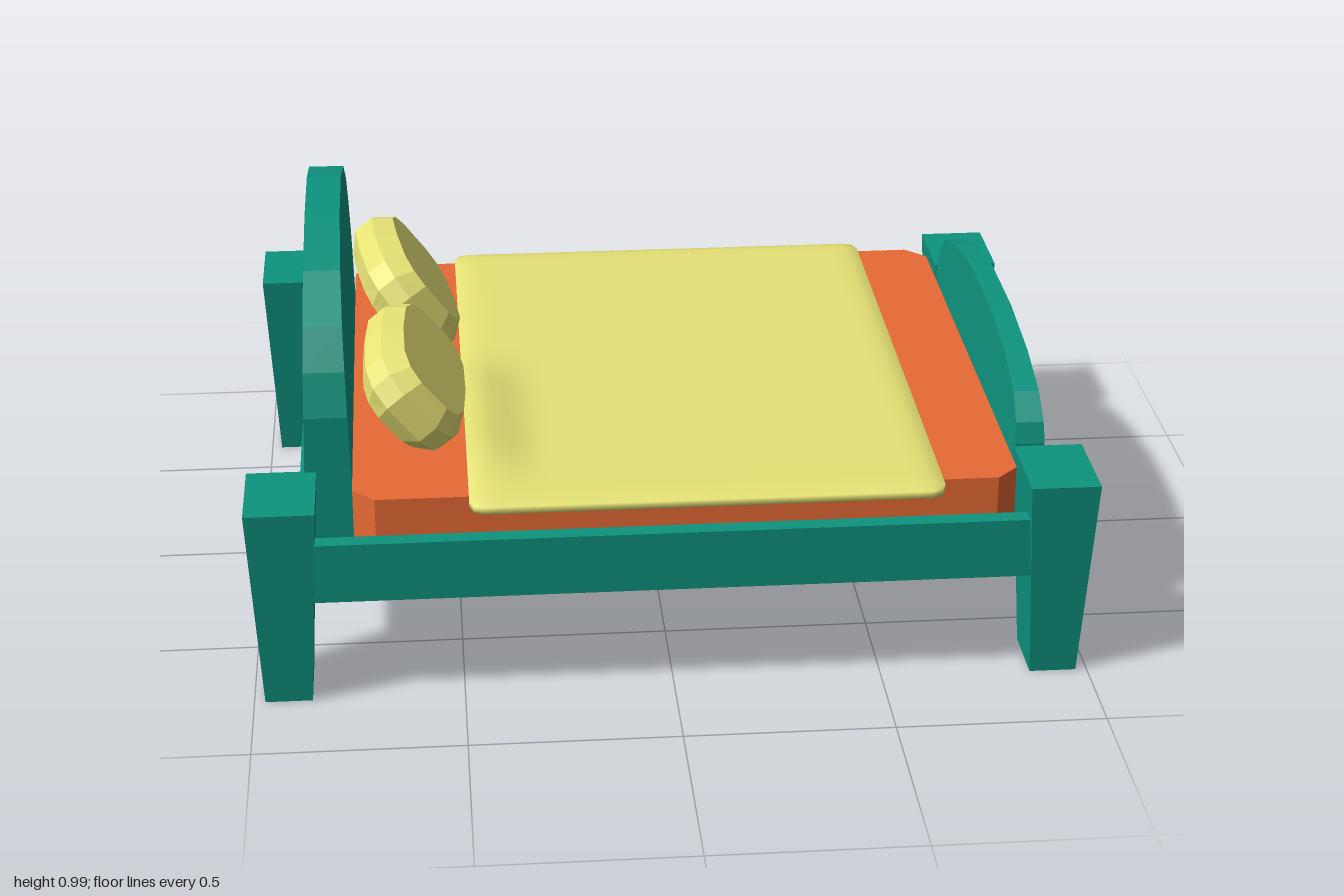
import * as THREE from 'three';
import { mergeVertices } from 'three/addons/utils/BufferGeometryUtils.js';

const mat = (color, flatShading = true) =>
  new THREE.MeshStandardMaterial({ color, flatShading, side: THREE.DoubleSide });
const wood = mat(0x0e937f);
const orange = mat(0xe86a35);
const yellow = mat(0xe6e276);
const yellowSmooth = mat(0xe6e276, false);

// Applies a rule to every vertex
function reshape(geo, rule) {
  const p = geo.attributes.position;
  const v = new THREE.Vector3();
  for (let i = 0; i < p.count; i++) {
    v.fromBufferAttribute(p, i);
    rule(v);
    p.setXYZ(i, v.x, v.y, v.z);
  }
  geo.computeVertexNormals();
  return geo;
}

// Box given by its limits on each axis
function box(x0, x1, y0, y1, z0, z1) {
  return new THREE.BoxGeometry(x1 - x0, y1 - y0, z1 - z0)
    .translate((x0 + x1) / 2, (y0 + y1) / 2, (z0 + z1) / 2);
}

// Arched board across z, thinner towards the top
function archedBoard(half, centreX, bottom, thickBottom, thickTop, centreZ) {
  const top = half[half.length - 1][1];
  const outline = [[half[0][0], bottom], ...half];
  const pts = [
    ...outline.map(([a, y]) => new THREE.Vector2(a, y)),
    ...outline.slice().reverse().map(([a, y]) => new THREE.Vector2(-a, y)),
  ];
  const geo = new THREE.ExtrudeGeometry(new THREE.Shape(pts), { depth: 1, bevelEnabled: false });
  geo.translate(0, 0, -0.5).rotateY(Math.PI / 2);
  return reshape(geo, v => {
    const t = (v.y - bottom) / (top - bottom);
    v.x = centreX + v.x * THREE.MathUtils.lerp(thickBottom, thickTop, t);
    v.z += centreZ;
  });
}

// Cushion from stacked rounded outlines; length on z, height on y, thickness on x
function cushion(halfY, halfZ, halfX) {
  const sides = 14;
  const layers = [[-1, 0], [-1, 0.72], [-0.4, 1], [0.35, 1], [1, 0.78], [1, 0]];
  const pos = [], idx = [];
  for (const [x, s] of layers) {
    for (let i = 0; i < sides; i++) {
      const a = (i + 0.5) / sides * Math.PI * 2;
      const c = Math.cos(a), n = Math.sin(a);
      pos.push(x * halfX,
        Math.sign(n) * Math.abs(n) ** 0.62 * halfY * s,
        Math.sign(c) * Math.abs(c) ** 0.62 * halfZ * (s * 0.5 + (s > 0 ? 0.5 : 0)));
    }
  }
  for (let l = 0; l < layers.length - 1; l++) {
    for (let i = 0; i < sides; i++) {
      const a = l * sides + i, b = l * sides + (i + 1) % sides;
      idx.push(a, a + sides, b, b, a + sides, b + sides);
    }
  }
  const geo = new THREE.BufferGeometry();
  geo.setAttribute('position', new THREE.Float32BufferAttribute(pos, 3));
  geo.setIndex(idx);
  geo.computeVertexNormals();
  return geo;
}

// Thin cover with rounded corners, soft edges and a raised fold by the pillows
function blanketGeometry() {
  const hx = 0.557, hz = 0.77, r = 0.035;
  let geo = new THREE.BoxGeometry(2 * hx, 2, 2 * hz, 32, 2, 40);
  geo.deleteAttribute('uv');
  geo.deleteAttribute('normal');
  geo = mergeVertices(geo);
  return reshape(geo, v => {
    const edge = Math.min(hx - Math.abs(v.x), hz - Math.abs(v.z));
    const soft = 0.5 + 0.5 * Math.min(1, edge / 0.04);
    // Pull the corners onto an arc
    const cx = Math.abs(v.x) - (hx - r), cz = Math.abs(v.z) - (hz - r);
    if (cx > 0 && cz > 0) {
      const k = Math.max(cx, cz) / Math.hypot(cx, cz);
      v.x = Math.sign(v.x) * (hx - r + cx * k);
      v.z = Math.sign(v.z) * (hz - r + cz * k);
    }
    const x = v.x + 0.078, z = v.z + 0.035;
    const rise = THREE.MathUtils.smoothstep(-x, 0.3, 0.47);
    const across = THREE.MathUtils.smoothstep(z, -0.1, 0.25)
      * (1 - THREE.MathUtils.smoothstep(z, 0.5, 0.8));
    v.set(x, 0.506 + v.y * 0.018 * soft + 0.042 * rise * across * (v.y > 0 ? 1 : 0.3), z);
  });
}

export function createModel() {
  const model = new THREE.Group();
  model.name = 'bed';
  const add = (name, geo, material) => {
    const m = new THREE.Mesh(geo, material);
    m.name = name;
    model.add(m);
    return m;
  };

  // Legs, narrowing to the floor: centre x, centre z
  const legs = [
    ['headFrontLeg', -0.918, 0.687], ['headBackLeg', -0.918, -0.702],
    ['footFrontLeg', 0.917, 0.687], ['footBackLeg', 0.917, -0.685],
  ];
  for (const [name, x, z] of legs) {
    const geo = reshape(new THREE.BoxGeometry(0.165, 0.51, 0.23), v => {
      if (v.y < 0) { v.x *= 0.68; v.z *= 0.69; }
      v.x += x; v.y += 0.255; v.z += z;
    });
    add(name, geo, wood);
  }

  // Base and side rails
  add('base', box(-0.89, 0.932, 0.268, 0.328, -0.745, 0.778), wood);
  add('frontRail', box(-0.86, 0.86, 0.27, 0.418, 0.738, 0.78), wood);
  add('backRail', box(-0.86, 0.86, 0.27, 0.418, -0.746, -0.705), wood);

  // Headboard and footboard
  const headArch = [[0.582, 0.65], [0.548, 0.752], [0.49, 0.845], [0.352, 0.93], [0.13, 0.986]];
  const footArch = [[0.565, 0.515], [0.55, 0.565], [0.49, 0.62], [0.35, 0.663], [0.13, 0.692]];
  add('headboard', archedBoard(headArch, -0.808, 0.32, 0.12, 0.085, -0.003), wood);
  add('footboard', archedBoard(footArch, 0.874, 0.32, 0.09, 0.055, 0.005), wood);

  // Mattress with cut corners
  const mx = 0.785, mz = 0.712, c = 0.052;
  const corners = [[mx, mz - c], [mx - c, mz], [c - mx, mz], [-mx, mz - c],
    [-mx, c - mz], [c - mx, -mz], [mx - c, -mz], [mx, c - mz]];
  const mattress = new THREE.ExtrudeGeometry(
    new THREE.Shape(corners.map(([x, z]) => new THREE.Vector2(x, z))),
    { depth: 0.183, bevelEnabled: false });
  mattress.rotateX(-Math.PI / 2).translate(0.035, 0.327, 0.023);
  add('mattress', mattress, orange);

  add('blanket', blanketGeometry(), yellowSmooth);

  // Pillows leaning on the headboard
  const pillows = [
    ['frontPillow', -0.6, 0.628, 0.305, 0.7, 0.02, 0.145],
    ['backPillow', -0.615, 0.642, -0.24, 0.64, -0.12, 0.155],
  ];
  for (const [name, x, y, z, lean, turn, halfY] of pillows) {
    const p = add(name, cushion(halfY, 0.247, 0.07), yellow);
    p.position.set(x, y, z);
    p.rotation.set(0, -turn, lean, 'YXZ');
  }
  return model;
}
